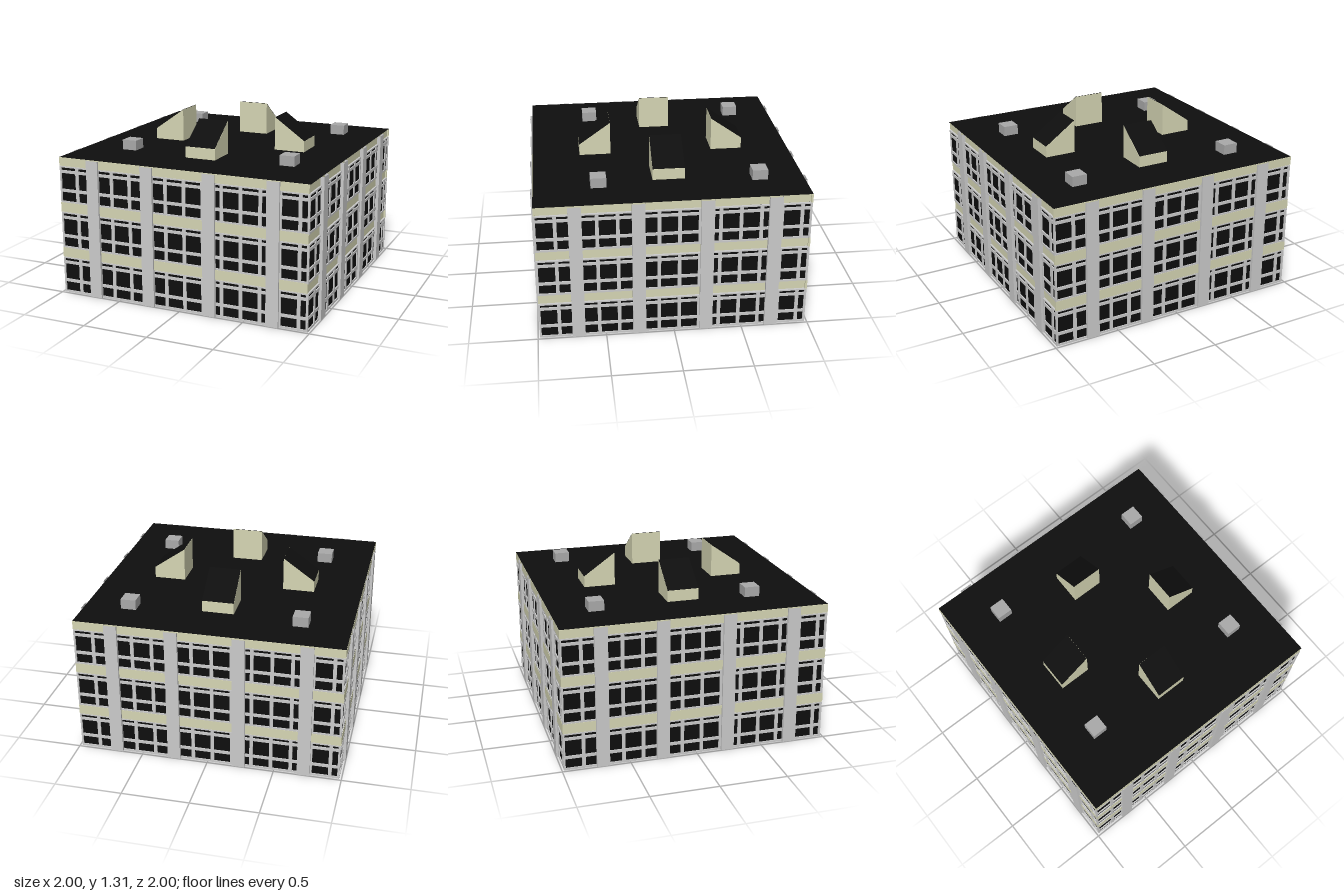
import * as THREE from 'three';

const mat = (color) => new THREE.MeshStandardMaterial({ color, side: THREE.DoubleSide, flatShading: true });

export function createModel() {
  const grey = mat(0xcccccc), cream = mat(0xd6d6b4), black = mat(0x0e0e0e), unitGrey = mat(0xaaaaaa);
  const model = new THREE.Group();
  model.name = 'officeBlock';

  const add = (parent, name, geometry, material, x, y, z) => {
    const mesh = new THREE.Mesh(geometry, material);
    mesh.name = name;
    mesh.position.set(x, y, z);
    parent.add(mesh);
    return mesh;
  };
  // Box given by its limits
  const box = (parent, name, material, x0, x1, y0, y1, z0, z1) =>
    add(parent, name, new THREE.BoxGeometry(x1 - x0, y1 - y0, z1 - z0), material,
      (x0 + x1) / 2, (y0 + y1) / 2, (z0 + z1) / 2);

  const roofY = 1.06, storey = 0.355, left = -0.985, right = 0.977;
  const pillars = [-0.7, -0.255, 0.235, 0.72];

  // Open-ended square pillar, 0.095 wide
  const pillarGeometry = new THREE.CylinderGeometry(0.0475 * Math.SQRT2, 0.0475 * Math.SQRT2, roofY - 0.003, 4, 1, true);
  pillarGeometry.rotateY(Math.PI / 4);

  // One facade, facing +z; bandZ is the outer face of the cream bands
  function createWall(name, bandZ) {
    const wall = new THREE.Group();
    wall.name = name;
    for (let s = 0; s < 3; s++) {
      const y = s * storey, top = y + 0.282;
      // Glazing between floor and band
      add(wall, 'glazing', new THREE.PlaneGeometry(right - left, top - y), black, (left + right) / 2, (y + top) / 2, 0.975);
      // Horizontal window bars
      for (const [a, b] of [[0, 0.015], [0.085, 0.108], [0.23, 0.252], [0.272, 0.282]])
        box(wall, 'windowRail', grey, left, right, y + a, y + b, 0.967, 0.983);
      // Upright window bars
      for (let i = 0; i < 14; i++) {
        const x = -0.985 + i * 0.146;
        box(wall, 'mullion', grey, Math.max(left, x - 0.013), x + 0.013, y, top, 0.967, 0.983);
      }
      // Cream band closing the storey
      box(wall, 'floorBand', cream, left, right, y + 0.285, Math.min(y + 0.358, roofY - 0.002), bandZ - 0.015, bandZ);
    }
    for (const x of pillars) add(wall, 'pillar', pillarGeometry, grey, x, (roofY - 0.003) / 2, 0.9525);
    return wall;
  }

  // Wedge roof light: cream body with a black slope falling outwards
  const profile = new THREE.Shape([[0.388, 1.06], [0.625, 1.06], [0.625, 1.143], [0.388, 1.31]]
    .map(([z, y]) => new THREE.Vector2(z, y)));
  const wedgeGeometry = new THREE.ExtrudeGeometry(profile, { depth: 0.236, bevelEnabled: false });
  wedgeGeometry.translate(0, 0, -0.118).rotateY(-Math.PI / 2);
  const slopeLength = Math.hypot(0.237, 0.167);
  function createRoofLight() {
    const light = new THREE.Group();
    light.name = 'roofLight';
    add(light, 'roofLightBody', wedgeGeometry, cream, 0, 0, 0);
    const slope = add(light, 'roofLightSlope', new THREE.PlaneGeometry(0.236, slopeLength), black, 0, 1.2285, 0.5075);
    slope.rotation.x = -Math.PI / 2 + Math.atan2(0.167, 0.237);
    return light;
  }

  // Four facades and four roof lights around the block
  ['frontWall', 'leftWall', 'backWall', 'rightWall'].forEach((name, i) => {
    const wall = createWall(name, i === 1 ? 0.972 : 0.985);
    const light = createRoofLight();
    wall.rotation.y = light.rotation.y = i * Math.PI / 2;
    model.add(wall, light);
  });

  // Flat roof
  const roof = add(model, 'roof', new THREE.PlaneGeometry(1.968, 1.968), black, 0, roofY, 0);
  roof.rotation.x = -Math.PI / 2;

  // Small service units that pass through the roof
  for (const [x, z] of [[-0.622, -0.658], [0.652, -0.658], [-0.622, 0.515], [0.658, 0.515]])
    box(model, 'serviceUnit', unitGrey, x - 0.057, x + 0.057, 1.025, 1.135, z - 0.057, z + 0.057);

  return model;
}
